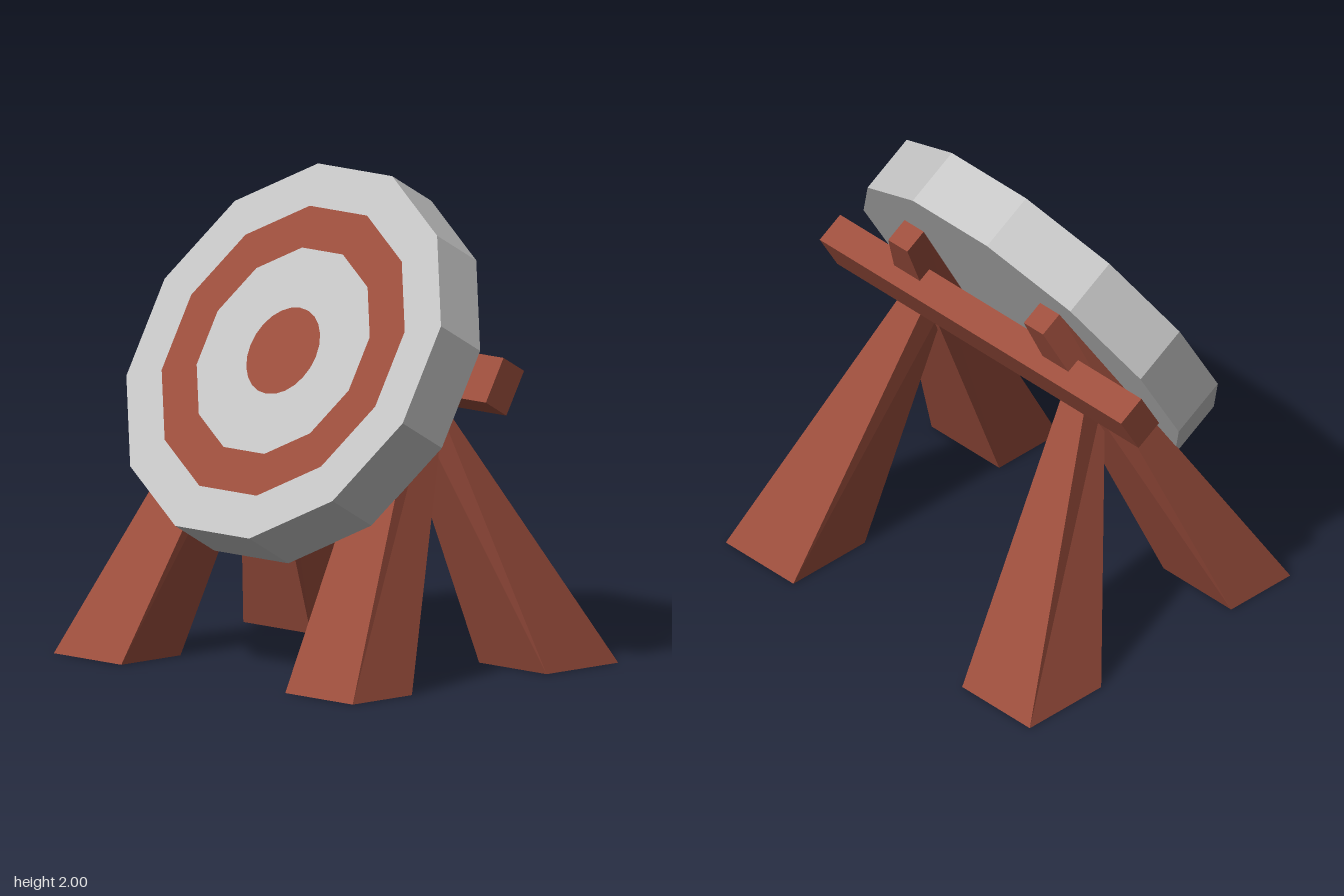
import * as THREE from 'three';

const TILT = -Math.PI / 6;
const SIDES = 12;
const HALF_STEP = Math.PI / SIDES;
// circumradius of a twelve-sided polygon from its flat-to-flat half width
const radius = (halfWidth) => halfWidth / Math.cos(HALF_STEP);

function faceted(geometry) {
  const flat = geometry.toNonIndexed();
  flat.computeVertexNormals();
  return flat;
}

// Tapered leg: each end gives inner/outer x and [z, y] of its front and back edges
function legGeometry(side, foot, head) {
  const geo = new THREE.BoxGeometry(1, 1, 1);
  const p = geo.attributes.position;
  for (let i = 0; i < p.count; i++) {
    const end = p.getY(i) > 0 ? head : foot;
    const x = p.getX(i) * side > 0 ? end.outer : end.inner;
    const [z, y] = p.getZ(i) > 0 ? end.front : end.back;
    p.setXYZ(i, x * side, y, z);
  }
  return faceted(geo);
}

export function createModel() {
  const model = new THREE.Group();
  model.name = 'targetOnStand';

  const material = (name, color) => {
    const m = new THREE.MeshStandardMaterial({ color });
    m.name = name;
    return m;
  };
  const wood = material('redWood', 0x9c4e3d);
  const sole = material('darkSole', 0x58262f);
  const grey = material('lightGrey', 0xc6c6c6);

  const add = (parent, name, geometry, mat) => {
    const mesh = new THREE.Mesh(geometry, mat);
    mesh.name = name;
    parent.add(mesh);
    return mesh;
  };

  // Tilted target board; local z = 0 is its front face
  const target = new THREE.Group();
  target.name = 'target';
  target.position.set(0, 1.3, 0.29);
  target.rotation.x = TILT;
  model.add(target);

  const R = radius(0.809);
  const depth = 0.256;
  const board = new THREE.CylinderGeometry(R, R, depth, SIDES, 1, false, HALF_STEP);
  board.rotateX(Math.PI / 2);
  board.translate(0, 0, -depth / 2);
  add(target, 'board', faceted(board), grey);

  // Painted ring and bullseye
  const ring = new THREE.RingGeometry(radius(0.445), radius(0.625), SIDES, 1, HALF_STEP);
  add(target, 'outerRing', ring, wood).position.z = 0.003;
  const eye = new THREE.CircleGeometry(0.192, 24, HALF_STEP);
  add(target, 'bullseye', eye, wood).position.z = 0.003;

  // Splayed legs with dark undersides, mirrored left and right
  const legMaterials = [wood, wood, wood, sole, wood, wood];
  for (const [side, label] of [[1, 'Left'], [-1, 'Right']]) {
    add(model, 'frontLeg' + label, legGeometry(side,
      { inner: 0.48, outer: 0.875, front: [0.745, 0], back: [0.41, 0] },
      { inner: 0.34, outer: 0.452, front: [-0.15, 1.56], back: [-0.247, 1.504] }), legMaterials);
    add(model, 'backLeg' + label, legGeometry(side,
      { inner: 0.493, outer: 0.888, front: [-0.34, 0], back: [-0.745, 0] },
      { inner: 0.4, outer: 0.51, front: [0.05, 1.1], back: [-0.04, 1.19] }), legMaterials);
  }

  // Cross beam behind the board
  const beam = add(model, 'crossBeam', new THREE.BoxGeometry(1.76, 0.2, 0.134), wood);
  beam.position.set(0, 1.212, -0.112);
  beam.rotation.x = TILT;

  return model;
}
